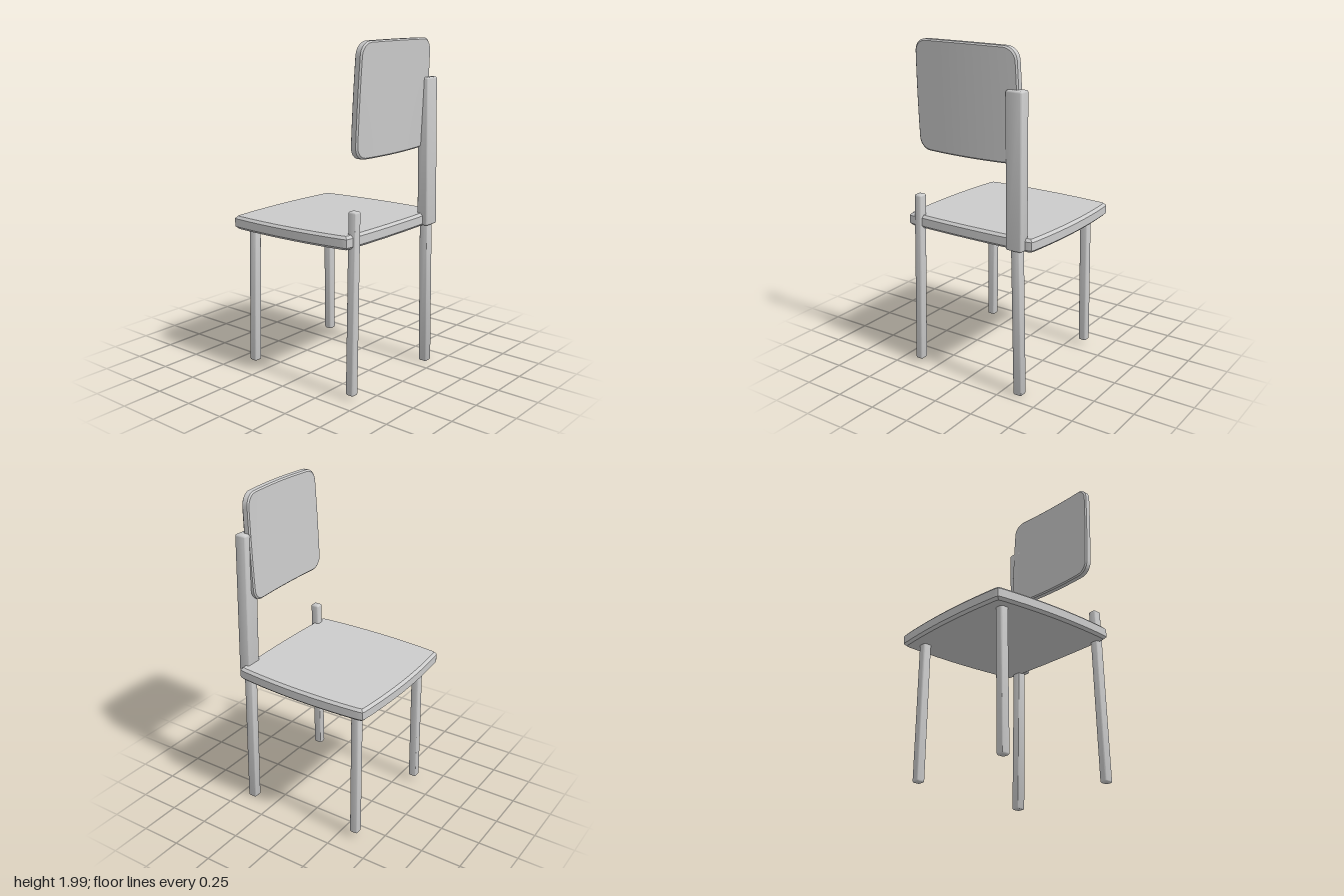
import * as THREE from 'three';
import { toCreasedNormals } from 'three/addons/utils/BufferGeometryUtils.js';
import { RoundedBoxGeometry } from 'three/addons/geometries/RoundedBoxGeometry.js';

const material = new THREE.MeshStandardMaterial({ color: 0xcccccc });

function part(name, geometry) {
  const mesh = new THREE.Mesh(geometry, material);
  mesh.name = name;
  return mesh;
}

// Move every vertex by a rule that edits the vector in place
function deform(geometry, rule) {
  const pos = geometry.attributes.position;
  const p = new THREE.Vector3();
  for (let i = 0; i < pos.count; i++) {
    p.fromBufferAttribute(pos, i);
    rule(p);
    pos.setXYZ(i, p.x, p.y, p.z);
  }
  return geometry;
}

// Slab in the xy plane with rounded corners and chamfered rims, then warped
function slab(w, h, d, r, bevel, warp) {
  const geometry = deform(new THREE.BoxGeometry(w, h, d, 40, 40, 3), (p) => {
    const cx = THREE.MathUtils.clamp(p.x, r - w / 2, w / 2 - r);
    const cy = THREE.MathUtils.clamp(p.y, r - h / 2, h / 2 - r);
    const dx = p.x - cx, dy = p.y - cy;
    const len = Math.hypot(dx, dy);
    if (len > 0) {
      const k = Math.max(Math.abs(dx), Math.abs(dy)) / len;
      p.x = cx + dx * k;
      p.y = cy + dy * k;
    }
    if (Math.abs(p.z) > d * 0.4) {
      p.x *= 1 - 2 * bevel / w;
      p.y *= 1 - 2 * bevel / h;
    } else {
      p.z = Math.sign(p.z) * (d / 2 - bevel);
    }
    warp(p, p.x / (w / 2), p.y / (h / 2));
  });
  return geometry;
}

// Softly rounded bar whose centre line runs from bottom to top [x, y, z]
function bar(name, w, d, bottom, top) {
  const h = top[1] - bottom[1];
  const geometry = deform(new RoundedBoxGeometry(w, h, d, 2, 0.012), (p) => {
    const t = p.y / h + 0.5;
    p.x += THREE.MathUtils.lerp(bottom[0], top[0], t);
    p.z += THREE.MathUtils.lerp(bottom[2], top[2], t);
    p.y += bottom[1] + h / 2;
  });
  return part(name, toCreasedNormals(geometry, 0.7));
}

export function createModel() {
  const chair = new THREE.Group();
  chair.name = 'chair';

  // Seat with bowed sides, slightly lower at the -z edge
  const seat = slab(0.86, 0.86, 0.078, 0.012, 0.015, (p, u, v) => {
    p.x += 0.025 * u * (1 - v * v);
    p.y += (v > 0 ? 0.025 : 0.012) * v * (1 - u * u);
  });
  seat.rotateX(-Math.PI / 2).rotateX(-0.017).translate(0, 0.917, -0.01);
  chair.add(part('seat', toCreasedNormals(seat, 0.6)));

  // Backrest, curved across, leaning back and turned a little
  const backrest = slab(0.665, 0.63, 0.047, 0.07, 0.008, (p, u, v) => {
    p.z += 0.412 + 0.015 * v - 0.017 * u * u - 0.006 * u;
    p.x += 0.005 * u * (1 - v * v) - 0.004 * u * v;
    p.y += 0.004 * v * (1 - u * u) + 1.678;
  });
  chair.add(part('backrest', toCreasedNormals(backrest, 0.6)));

  // Wide post carrying the backrest on one side only
  chair.add(bar('backrestPost', 0.105, 0.072, [0.335, 0.89, 0.423], [0.326, 1.77, 0.41]));

  // Rear legs: one ends under the post, the other rises as a short stub
  chair.add(bar('rearLegLeft', 0.057, 0.058, [0.354, 0.008, 0.417], [0.335, 0.91, 0.415]));
  chair.add(bar('rearLegRight', 0.05, 0.055, [-0.373, 0.03, 0.413], [-0.348, 1.09, 0.408]));

  // Front legs
  chair.add(bar('frontLegLeft', 0.053, 0.053, [0.345, 0.04, -0.347], [0.335, 0.9, -0.344]));
  chair.add(bar('frontLegRight', 0.053, 0.053, [-0.368, 0.04, -0.347], [-0.352, 0.9, -0.344]));

  return chair;
}
